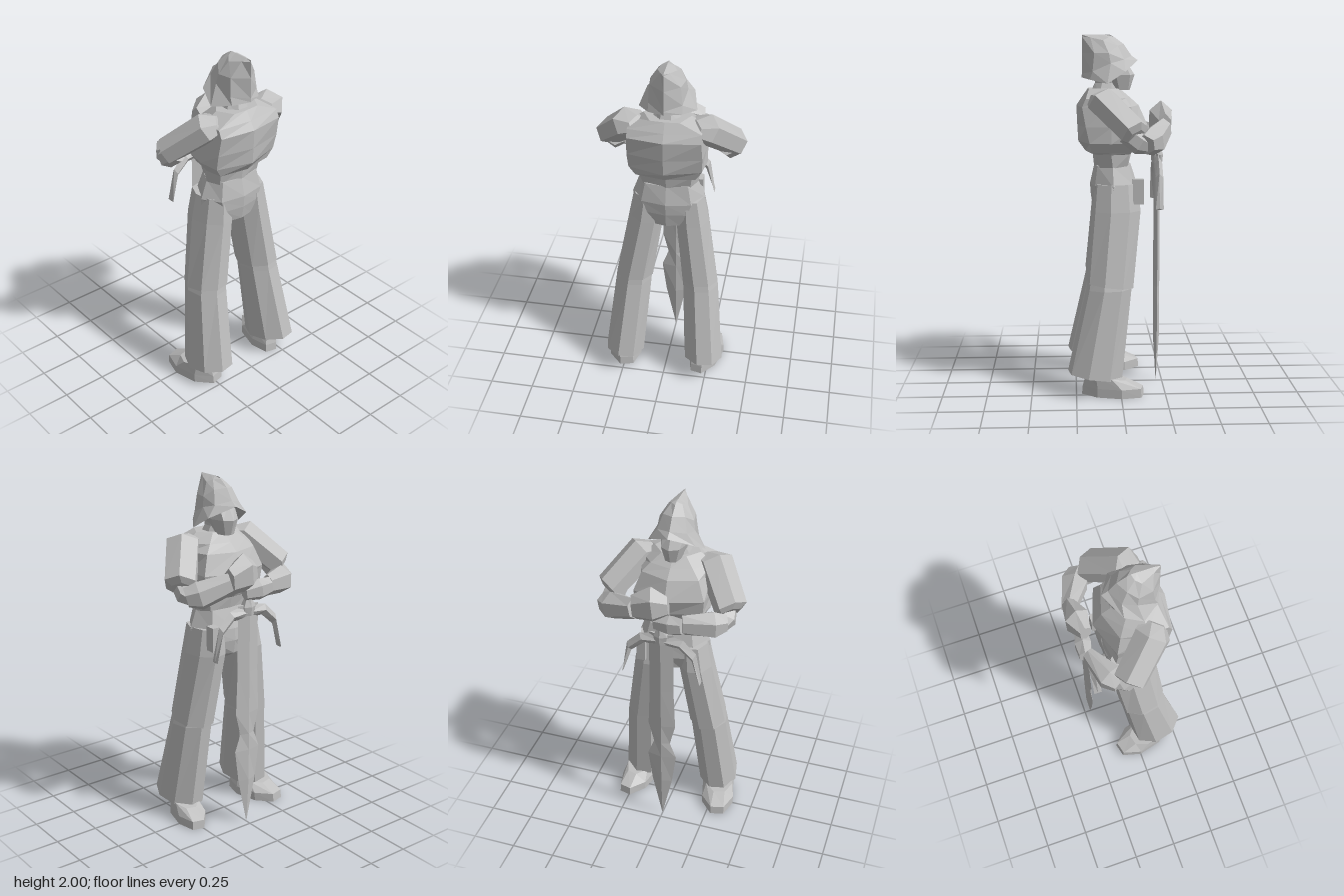
import * as THREE from 'three';

const steel = new THREE.MeshStandardMaterial({ color: 0xbfbfbf });
steel.name = 'steel grey';

// Faceted solid through a list of rings (each an array of [x, y, z]), closed at both ends
function loft(name, rings) {
  const n = rings[0].length, tris = [];
  const mid = (r) => [0, 1, 2].map((k) => r.reduce((s, p) => s + p[k], 0) / n);
  const first = mid(rings[0]), last = mid(rings[rings.length - 1]);
  for (let j = 0; j < n; j++) {
    const k = (j + 1) % n;
    for (let i = 0; i + 1 < rings.length; i++) {
      const a = rings[i], b = rings[i + 1];
      tris.push([a[j], a[k], b[k]], [a[j], b[k], b[j]]);
    }
    tris.push([first, rings[0][k], rings[0][j]]);
    tris.push([last, rings[rings.length - 1][j], rings[rings.length - 1][k]]);
  }
  // Turn the faces outward whichever way the rings run
  let volume = 0;
  for (const [a, b, c] of tris) {
    volume += new THREE.Vector3(...a).dot(new THREE.Vector3(...b).cross(new THREE.Vector3(...c)));
  }
  const flat = tris.flatMap(([a, b, c]) => (volume < 0 ? [a, c, b] : [a, b, c])).flat();
  const geo = new THREE.BufferGeometry();
  geo.setAttribute('position', new THREE.Float32BufferAttribute(flat, 3));
  geo.computeVertexNormals();
  const mesh = new THREE.Mesh(geo, steel);
  mesh.name = name;
  return mesh;
}

// Mirrors a half outline whose first and last points lie on x = 0
const mirror = (half) => [...half, ...half.slice(1, -1).reverse().map(([x, y, z]) => [-x, y, z])];

// Level ring: back z, back corner, side, front corner, front z
const level = (y, back, [bx, bz], [sx, sz], [fx, fz], front) =>
  mirror([[0, y, back], [bx, y, bz], [sx, y, sz], [fx, y, fz], [0, y, front]]);

// Horizontal oval rings: [x, y, z, rx, rz, slope of the ring along z]
function ovals(name, stations, n = 8, yaw = 0) {
  return loft(name, stations.map(([x, y, z, rx, rz, tilt = 0]) =>
    Array.from({ length: n }, (_, i) => {
      const a = ((i + 0.5) / n) * Math.PI * 2;
      const u = Math.cos(a) * rx, v = Math.sin(a) * rz;
      const dz = v * Math.cos(yaw) - u * Math.sin(yaw);
      return [x + u * Math.cos(yaw) + v * Math.sin(yaw), y + tilt * dz, z + dz];
    })));
}

// Limb with rings square to its line: [x, y, z, horizontal radius, other radius]
function limb(name, stations, n = 6) {
  const at = (s) => new THREE.Vector3(s[0], s[1], s[2]);
  const dir = at(stations[stations.length - 1]).sub(at(stations[0])).normalize();
  const u = new THREE.Vector3(0, 1, 0).cross(dir).normalize();
  const v = dir.clone().cross(u);
  return loft(name, stations.map((s) => Array.from({ length: n }, (_, i) => {
    const a = ((i + 0.5) / n) * Math.PI * 2;
    return at(s).addScaledVector(u, Math.cos(a) * s[3]).addScaledVector(v, Math.sin(a) * s[4]).toArray();
  })));
}

export function createModel() {
  const model = new THREE.Group();
  model.name = 'knight';

  // Breastplate and waist
  model.add(loft('torso', [
    level(1.26, 0.14, [0.13, 0.11], [0.165, 0.04], [0.12, -0.04], -0.05),
    level(1.345, 0.15, [0.14, 0.13], [0.175, 0.05], [0.14, -0.05], -0.07),
    level(1.355, 0.19, [0.165, 0.16], [0.18, 0.05], [0.16, -0.06], -0.09),
    level(1.41, 0.23, [0.2, 0.17], [0.215, 0.05], [0.19, -0.08], -0.13),
    level(1.5, 0.235, [0.205, 0.19], [0.21, 0.05], [0.2, -0.09], -0.16),
    level(1.61, 0.24, [0.2, 0.21], [0.205, 0.06], [0.16, -0.06], -0.11),
    level(1.655, 0.21, [0.2, 0.19], [0.2, 0.07], [0.12, -0.03], -0.06),
    level(1.705, 0.175, [0.08, 0.17], [0.13, 0.08], [0.07, 0.01], 0.0),
  ]));

  // Hips
  model.add(loft('hips', [
    level(1.28, 0.14, [0.12, 0.125], [0.165, 0.04], [0.12, -0.05], -0.065),
    level(1.17, 0.165, [0.14, 0.14], [0.205, 0.04], [0.14, -0.08], -0.1),
    level(1.1, 0.16, [0.12, 0.14], [0.2, 0.03], [0.12, -0.085], -0.105),
    level(1.02, 0.145, [0.075, 0.13], [0.1, 0.03], [0.06, -0.07], -0.09),
    level(0.99, 0.06, [0.03, 0.05], [0.04, 0.02], [0.03, -0.03], -0.04),
  ]));

  // Neck and face
  model.add(ovals('neck', [[0, 1.67, 0.08, 0.095, 0.09], [0, 1.735, 0.07, 0.065, 0.07], [0, 1.82, 0.07, 0.07, 0.07]]));
  model.add(loft('face', [
    level(1.695, 0.05, [0.04, 0.045], [0.045, 0], [0.03, -0.05], -0.06),
    level(1.78, 0.11, [0.07, 0.09], [0.075, 0.02], [0.05, -0.06], -0.087),
    level(1.86, 0.11, [0.07, 0.09], [0.075, 0.03], [0.05, -0.02], -0.035),
  ]));

  // Helmet: inner rim, flared brim, dome and swept-back ridge
  model.add(loft('helmet', [
    [[0, 1.86, -0.04], [0.07, 1.82, 0], [0.085, 1.765, 0.07], [0.07, 1.76, 0.14], [0, 1.765, 0.19]],
    [[0, 1.86, -0.105], [0.13, 1.8, -0.03], [0.157, 1.735, 0.07], [0.092, 1.755, 0.165], [0, 1.765, 0.21]],
    [[0, 1.885, -0.07], [0.082, 1.865, -0.025], [0.105, 1.845, 0.05], [0.09, 1.8, 0.15], [0, 1.785, 0.208]],
    [[0, 1.95, -0.025], [0.06, 1.94, 0.01], [0.095, 1.9, 0.06], [0.08, 1.9, 0.14], [0, 1.9, 0.207]],
    [[0, 1.99, 0.03], [0.03, 1.985, 0.06], [0.052, 1.97, 0.09], [0.025, 1.985, 0.16], [0, 1.99, 0.206]],
    [[0, 2, 0.05], [0, 2, 0.08], [0, 2, 0.12], [0, 2, 0.17], [0, 2, 0.205]],
  ].map(mirror)));

  for (const s of [1, -1]) {
    const out = s > 0 ? 0 : 0.025; // the right leg stands a little wider

    // Legs: upper leg overlapping the lower
    model.add(ovals('upperLeg', [
      [s * 0.115, 1.18, 0.02, 0.085, 0.125],
      [s * 0.13, 1.03, 0.02, 0.1, 0.14],
      [s * (0.185 + out / 2), 0.62, 0.06, 0.11, 0.135, 0.15],
    ], 8, 0.2));
    model.add(ovals('lowerLeg', [
      [s * (0.18 + out / 2), 0.69, 0.06, 0.095, 0.12],
      [s * (0.19 + out / 2), 0.6, 0.065, 0.108, 0.13],
      [s * (0.225 + out), 0.11, 0.145, 0.118, 0.157, 0.17],
    ], 8, 0.2));

    // Shoes, toes turned out
    const fx = s * (0.235 + out * 1.6);
    const wide = 0.09 + out * 0.5;
    model.add(ovals('shoe', [
      [fx, 0, 0.045, wide, 0.185],
      [fx, 0.05, 0.045, wide, 0.18],
      [fx, 0.11, 0.08, wide * 0.85, 0.12, 0.15],
    ], 8, -s * 0.25));

    // Upper arm with shoulder plate
    model.add(limb('upperArm', [
      [s * 0.14, 1.655, 0.13, 0.07, 0.05],
      [s * 0.205, 1.645, 0.1, 0.1, 0.085],
      [s * 0.345, 1.48, -0.07, 0.095, 0.078],
      [s * 0.34, 1.455, -0.08, 0.065, 0.055],
    ]));
    model.add(limb('elbow', [
      [s * 0.31, 1.48, -0.02, 0.06, 0.055],
      [s * 0.325, 1.42, -0.1, 0.06, 0.06],
      [s * 0.31, 1.4, -0.15, 0.04, 0.04],
    ]));
  }

  // Forearms and stacked hands, left above right
  model.add(limb('leftForearm', [
    [0.35, 1.42, -0.125, 0.06, 0.055], [0.29, 1.43, -0.165, 0.08, 0.08], [0.14, 1.49, -0.245, 0.045, 0.06],
  ]));
  model.add(limb('leftHand', [
    [0.15, 1.5, -0.245, 0.04, 0.075], [0.04, 1.53, -0.23, 0.075, 0.11], [-0.04, 1.52, -0.21, 0.035, 0.06],
  ]));
  model.add(limb('rightForearm', [
    [-0.335, 1.42, -0.12, 0.05, 0.05], [-0.275, 1.42, -0.16, 0.075, 0.08], [-0.12, 1.43, -0.23, 0.035, 0.06],
  ]));
  model.add(limb('rightHand', [
    [-0.13, 1.43, -0.245, 0.035, 0.05], [-0.06, 1.42, -0.235, 0.05, 0.06], [0.03, 1.41, -0.22, 0.035, 0.045],
  ]));

  // Sword: grip, diamond-section blade and drooping guard
  const sz = -0.215;
  model.add(ovals('swordGrip', [
    [0, 1.28, sz, 0.035, 0.03], [0, 1.33, sz, 0.045, 0.035], [0, 1.38, sz, 0.02, 0.02], [0, 1.58, sz, 0.02, 0.02],
  ], 6));
  const blade = [[1.34, 0.07], [0.95, 0.07], [0.7, 0.08], [0.57, 0.048], [0.47, 0.085], [0.28, 0.06], [0.01, 0.002]];
  model.add(loft('swordBlade', blade.map(([y, w]) => {
    const t = Math.min(0.018, w * 0.5);
    return [[-w, y, sz], [0, y, sz + t], [w, y, sz], [0, y, sz - t]];
  })));
  const guard = [[0, 1.3, 0.04], [0.11, 1.29, 0.028], [0.185, 1.22, 0.025], [0.225, 1.05, 0.004]];
  for (const s of [1, -1]) {
    model.add(loft('swordGuard', guard.map(([x, y, h]) => [
      [s * (x + h * 0.5), y + h, sz], [s * x, y, sz + 0.022], [s * (x - h * 0.5), y - h, sz], [s * x, y, sz - 0.022],
    ])));
  }

  // Small pouch hanging on the left hip
  const pouch = new THREE.Mesh(new THREE.BoxGeometry(0.05, 0.14, 0.06), steel);
  pouch.name = 'hipPouch';
  pouch.position.set(0.15, 1.14, -0.1);
  model.add(pouch);

  return model;
}
